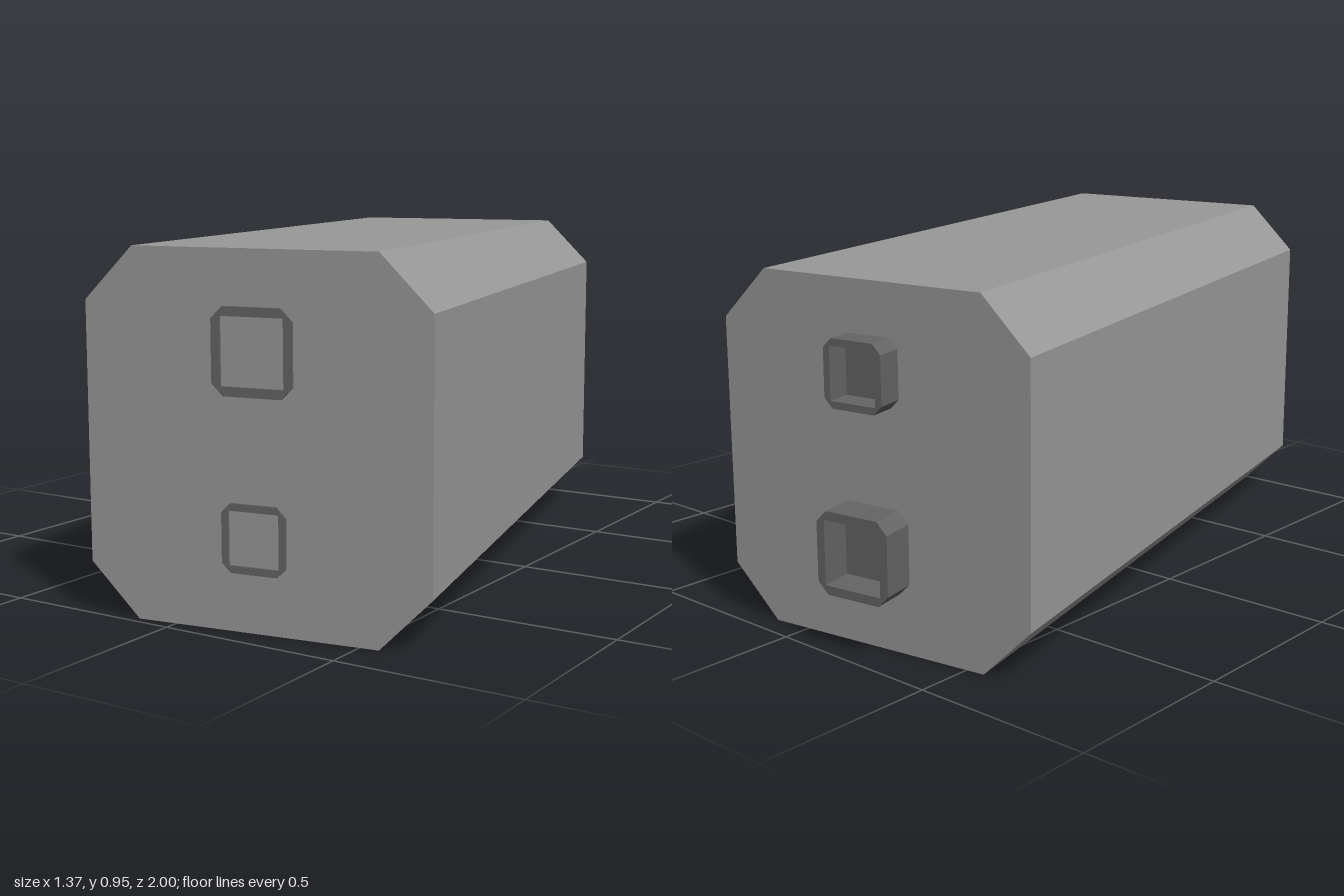
import * as THREE from 'three';

export function createModel() {
  const group = new THREE.Group();
  group.name = 'slantedBlock';

  const bodyGrey = new THREE.MeshStandardMaterial({ color: 0x999999 });
  bodyGrey.name = 'bodyGrey';
  const socketGrey = new THREE.MeshStandardMaterial({ color: 0x656565 });
  socketGrey.name = 'socketGrey';

  // skewed frame: width axis and length axis are not square to each other
  const skew = new THREE.Matrix4().makeBasis(
    new THREE.Vector3(0.989, 0, -0.149),
    new THREE.Vector3(0, 1, 0),
    new THREE.Vector3(0.238, 0, 0.971)
  ).setPosition(0, 0, 0.02);

  // square outline with cut corners
  function octagon(hw, hh, c) {
    const s = new THREE.Shape();
    s.setFromPoints([
      [-hw + c, -hh], [hw - c, -hh], [hw, -hh + c], [hw, hh - c],
      [hw - c, hh], [-hw + c, hh], [-hw, hh - c], [-hw, -hh + c],
    ].map(([x, y]) => new THREE.Vector2(x, y)));
    return s;
  }

  function add(name, shape, depth, y, z, material) {
    const geo = new THREE.ExtrudeGeometry(shape, { depth, bevelEnabled: false });
    geo.translate(0, y, z).applyMatrix4(skew);
    const mesh = new THREE.Mesh(geo, material);
    mesh.name = name;
    group.add(mesh);
  }

  // main prism
  const half = 0.935;
  add('body', octagon(0.47, 0.475, 0.138), half * 2, 0.475, -half, bodyGrey);

  // hollow frame with cut outer corners
  function frame(outer, inner) {
    const s = octagon(outer, outer, outer * 0.28);
    s.holes.push(new THREE.Path([
      [-inner, -inner], [-inner, inner], [inner, inner], [inner, -inner],
    ].map(([x, y]) => new THREE.Vector2(x, y))));
    return s;
  }

  // shallow frames on the front end
  add('frontUpperFrame', frame(0.11, 0.086), 0.012, 0.7, half - 0.005, socketGrey);
  add('frontLowerFrame', frame(0.088, 0.069), 0.012, 0.238, half - 0.005, socketGrey);

  // deep sockets with dark floors on the back end
  const sockets = [
    ['backUpper', 0.088, 0.069, 0.725, 0.077],
    ['backLower', 0.11, 0.086, 0.268, 0.1],
  ];
  for (const [name, outer, inner, y, depth] of sockets) {
    add(name + 'Socket', frame(outer, inner), depth + 0.005, y, -half - depth, socketGrey);
    add(name + 'Floor', octagon(inner, inner, 0), 0.008, y, -half - 0.006, socketGrey);
  }

  return group;
}
